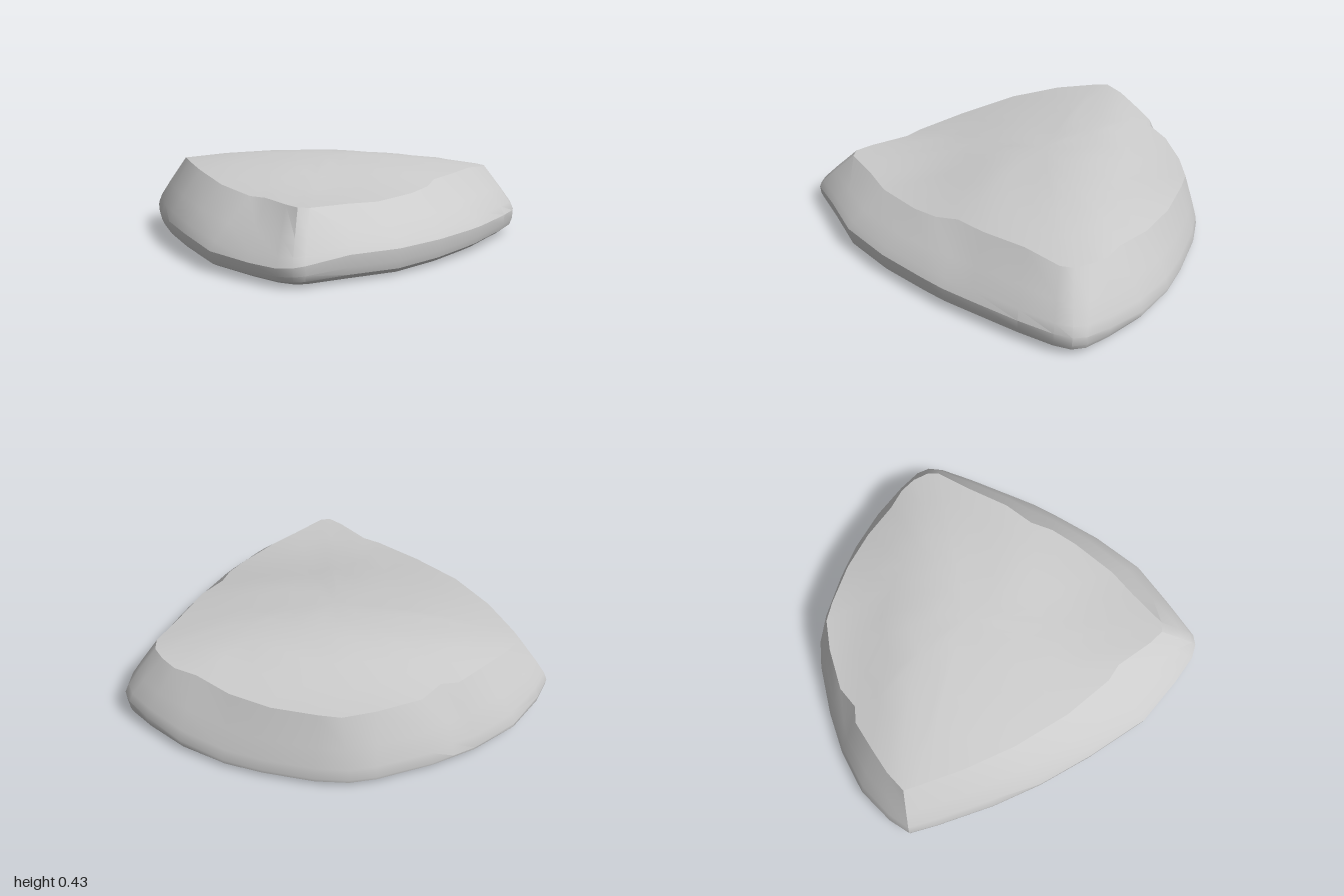
import * as THREE from 'three';
import { toCreasedNormals } from 'three/addons/utils/BufferGeometryUtils.js';

// Paired points around the stone: widest outline x, z, then top rim x, z
const OUTLINE = [
  [-0.03, -0.985, 0.0, -0.9], [0.12, -0.97, 0.1, -0.88], [0.35, -0.91, 0.3, -0.82],
  [0.52, -0.85, 0.48, -0.73], [0.72, -0.74, 0.63, -0.62], [0.88, -0.61, 0.73, -0.57],
  [0.97, -0.52, 0.79, -0.51], [0.995, -0.46, 0.83, -0.44], [0.985, -0.38, 0.83, -0.38],
  [0.93, -0.22, 0.74, -0.22], [0.84, 0.0, 0.65, -0.02], [0.78, 0.14, 0.56, 0.11],
  [0.72, 0.25, 0.53, 0.22], [0.59, 0.47, 0.46, 0.34], [0.42, 0.69, 0.31, 0.53],
  [0.22, 0.84, 0.19, 0.63], [0.05, 0.97, 0.04, 0.77], [0.0, 0.98, -0.01, 0.77],
  [-0.07, 0.96, -0.07, 0.71], [-0.2, 0.87, -0.19, 0.55], [-0.41, 0.7, -0.27, 0.5],
  [-0.6, 0.43, -0.45, 0.3], [-0.75, 0.18, -0.62, 0.05], [-0.86, -0.05, -0.74, -0.19],
  [-0.96, -0.32, -0.82, -0.4], [-1.0, -0.45, -0.84, -0.46], [-0.94, -0.55, -0.76, -0.54],
  [-0.8, -0.7, -0.65, -0.62], [-0.6, -0.82, -0.52, -0.71], [-0.5, -0.86, -0.44, -0.72],
  [-0.4, -0.9, -0.35, -0.8], [-0.15, -0.97, -0.15, -0.87],
];

// Heights of the top and of the underside along z
const CREST = [[-1, 0.33], [-0.78, 0.345], [-0.5, 0.43], [-0.3, 0.437], [0, 0.407],
  [0.3, 0.345], [0.5, 0.313], [1, 0.3]];
const SOLE = [[-1, 0.008], [-0.65, 0.009], [-0.4, 0.018], [0, 0.018], [0.4, 0.008],
  [0.7, 0.001], [1, 0.008]];
const CENTRE_Z = -0.2;
const { lerp, smoothstep } = THREE.MathUtils;

function along(profile, z) {
  const i = profile.findIndex(([pz]) => pz >= z);
  const [z0, y0] = profile[i - 1], [z1, y1] = profile[i];
  return lerp(y0, y1, (z - z0) / (z1 - z0));
}

// The top falls away sideways and has a shallow hollow towards the front
function topHeight(x, z) {
  const hollow = 0.01 * Math.exp(-((x - 0.1) ** 2 + (z - 0.25) ** 2) / 0.03);
  return along(CREST, z) - 0.09 * x * x - 0.012 * x - hollow;
}

// The underside rises towards one side
const soleHeight = (x, z) => along(SOLE, z) + 0.033 * Math.max(0, -x);

// The widest line is low at the back, higher round the sides, lower by the tip
function wideY(x, z) {
  const dip = 0.04 * smoothstep(z, 0.2, 0.9) * (1 - smoothstep(x, -0.1, 0.25));
  return 0.045 + 0.08 * smoothstep(z, -0.95, -0.4) - dip;
}

// Triangles between neighbouring rings, leaving out collapsed ones
function skin(rings, creaseAngle) {
  const positions = [];
  const addTriangle = (a, b, c) => {
    if (a.equals(b) || b.equals(c) || a.equals(c)) return;
    for (const v of [a, b, c]) positions.push(v.x, v.y, v.z);
  };
  const n = OUTLINE.length;
  for (let i = 0; i < rings.length - 1; i++) {
    for (let j = 0; j < n; j++) {
      const k = (j + 1) % n;
      const [a, b, c, d] = [rings[i][j], rings[i][k], rings[i + 1][j], rings[i + 1][k]];
      addTriangle(a, b, c);
      addTriangle(b, d, c);
    }
  }
  const geometry = new THREE.BufferGeometry();
  geometry.setAttribute('position', new THREE.Float32BufferAttribute(positions, 3));
  return toCreasedNormals(geometry, creaseAngle);
}

export function createModel() {
  const material = new THREE.MeshStandardMaterial({ color: 0xcccccc });
  const group = new THREE.Group();
  group.name = 'flatRock';
  const ring = (rule) => OUTLINE.map((p) => new THREE.Vector3(...rule(p)));
  const shrink = (x, z, s) => [x * s, CENTRE_Z + (z - CENTRE_Z) * s];
  const addPart = (name, rings, creaseAngle) => {
    const mesh = new THREE.Mesh(skin(rings, creaseAngle), material);
    mesh.name = name;
    group.add(mesh);
  };

  // Top, from its middle out to the rim
  const top = [0, 0.2, 0.4, 0.6, 0.8, 1].map((s) => ring(([, , rx, rz]) => {
    const [x, z] = shrink(rx, rz, s);
    return [x, topHeight(x, z), z];
  }));
  addPart('top', top, 0.3);

  // Sloping wall, nearly straight, turning in below the widest line
  const wall = [[0, 0], [0.5, 0.55], [0.82, 0.88], [1, 1]].map(([drop, out]) =>
    ring(([x, z, rx, rz]) => [
      lerp(rx, x, out),
      lerp(topHeight(rx, rz), wideY(x, z), drop),
      lerp(rz, z, out),
    ]));

  // Rounded lower edge and the underside
  const base = [[0.997, 0.55], [0.985, 0.27], [0.955, 0.09], [0.88, 0.02], [0.65, 0],
    [0.4, 0], [0.2, 0], [0, 0]];
  const underside = base.map(([s, rise]) => ring(([ox, oz]) => {
    const [x, z] = shrink(ox, oz, s);
    return [x, lerp(soleHeight(x, z), wideY(ox, oz), rise), z];
  }));
  addPart('wallAndUnderside', [...wall, ...underside], 0.5);
  return group;
}
